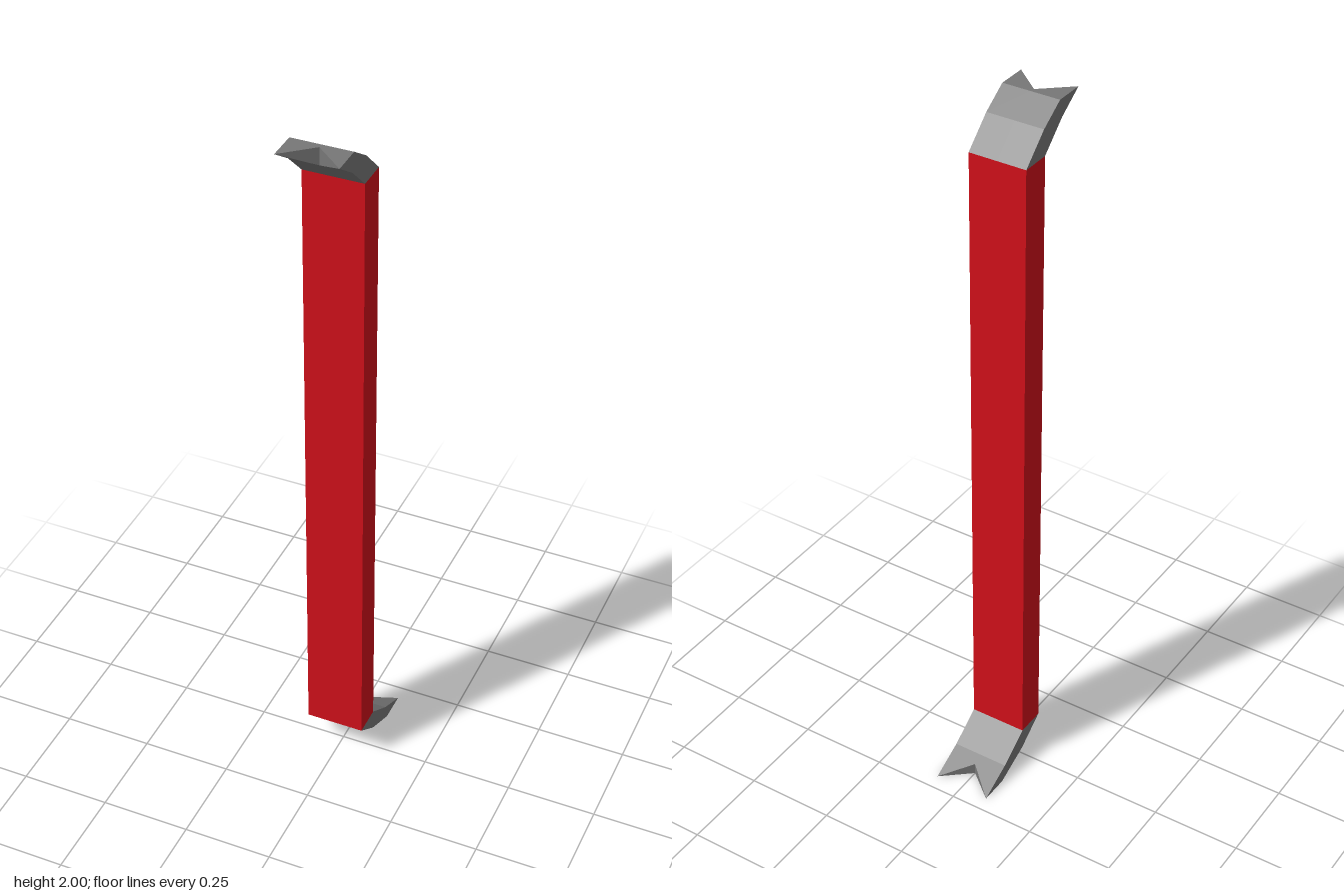
import * as THREE from 'three';

const HALF = 0.081; // half width of the bar
const steel = new THREE.MeshStandardMaterial({ color: 0x777777, flatShading: true });
const red = new THREE.MeshStandardMaterial({ color: 0xd0101a, flatShading: true });

// Lofts a claw over three sections (right edge, notch centre, left edge).
// Points are [z, y], running out along the inner side and back along the outer one;
// points 2 and 3 meet at the sharp tips and spread apart in the notch.
function claw(name, edge, notch) {
  const sections = [[-HALF, edge], [0, notch], [HALF, edge]];
  const pos = [];
  const at = (s, i) => [sections[s][0], sections[s][1][i][1], sections[s][1][i][0]];
  const quad = (a, b, c, d) => pos.push(...a, ...b, ...c, ...a, ...c, ...d);

  const n = edge.length;
  for (let s = 0; s < 2; s++) {
    for (let i = 0; i < n; i++) {
      const j = (i + 1) % n;
      if (i === 2) {
        // notch wall: a triangle running to the tip
        if (s === 0) pos.push(...at(0, 2), ...at(1, 2), ...at(1, 3));
        else pos.push(...at(1, 2), ...at(2, 2), ...at(1, 3));
      } else quad(at(s, i), at(s + 1, i), at(s + 1, j), at(s, j));
    }
  }
  // side caps
  for (const [a, b, c, d] of [[0, 1, 5, 6], [1, 2, 4, 5]]) {
    quad(at(0, a), at(0, b), at(0, c), at(0, d));
    quad(at(2, d), at(2, c), at(2, b), at(2, a));
  }
  const geo = new THREE.BufferGeometry();
  geo.setAttribute('position', new THREE.Float32BufferAttribute(pos, 3));
  geo.computeVertexNormals();
  const mesh = new THREE.Mesh(geo, steel);
  mesh.name = name;
  return mesh;
}

// Copies a profile, moving only the two tip points back into the notch
function withNotch(edge, inner, outer) {
  const p = edge.slice();
  p[2] = inner;
  p[3] = outer;
  return p;
}

export function createModel() {
  const group = new THREE.Group();
  group.name = 'pryBar';

  // straight shaft
  const y0 = 0.11, y1 = 1.88, z0 = -0.022, z1 = 0.061;
  const shaft = new THREE.Mesh(new THREE.BoxGeometry(2 * HALF, y1 - y0, z1 - z0), red);
  shaft.position.set(0, (y0 + y1) / 2, (z0 + z1) / 2);
  shaft.name = 'shaft';
  group.add(shaft);

  // upper claw, bending forward
  const top = [[z1, y1], [0.135, 1.95], [0.208, 2], [0.208, 2], [0.125, 2], [0.055, 1.953], [z0, y1]];
  group.add(claw('upperClaw', top, withNotch(top, [0.138, 1.952], [0.138, 2])));

  // lower claw, bending backward
  const low = [[z0, y0], [-0.112, 0.048], [-0.208, 0], [-0.208, 0], [-0.126, 0], [-0.022, 0.048], [z1, y0]];
  group.add(claw('lowerClaw', low, withNotch(low, [-0.14, 0.034], [-0.14, 0])));

  return group;
}
